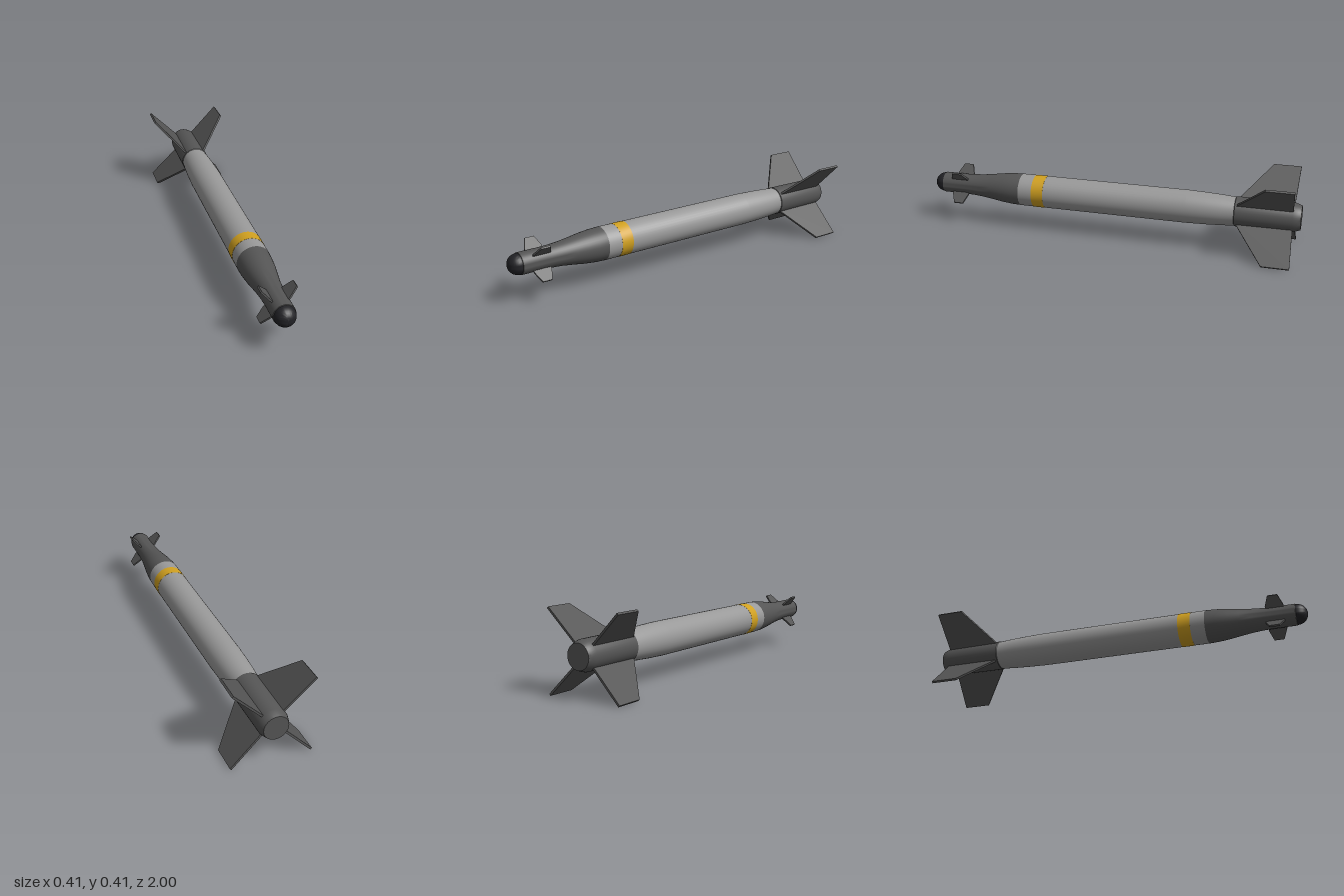
import * as THREE from 'three';
import { toCreasedNormals } from 'three/addons/utils/BufferGeometryUtils.js';

const AXIS_Y = 0.206;
const mat = (color) => new THREE.MeshStandardMaterial({ color });
const DARK = mat(0x555555), GREY = mat(0x999999), YELLOW = mat(0xd0a020), BLACK = mat(0x222226);

// Turned section along z; profile is [radius, z] from rear to front
function turned(name, profile, material) {
  const pts = profile.map(([r, z]) => new THREE.Vector2(r, z));
  const geo = new THREE.LatheGeometry(pts, 40).rotateX(Math.PI / 2);
  const mesh = new THREE.Mesh(toCreasedNormals(geo, 0.6), material);
  mesh.name = name;
  return mesh;
}

// Four flat plates at the diagonals; outline is [radial distance, z]
function finSet(name, outline, thickness, material) {
  const set = new THREE.Group();
  set.name = name + 's';
  const shape = new THREE.Shape(outline.map(([r, z]) => new THREE.Vector2(r, z)));
  const geo = new THREE.ExtrudeGeometry(shape, { depth: thickness, bevelEnabled: false });
  geo.translate(0, 0, -thickness / 2).rotateX(Math.PI / 2);
  for (let i = 0; i < 4; i++) {
    const fin = new THREE.Mesh(geo, material);
    fin.name = name;
    fin.rotation.z = Math.PI / 4 + i * Math.PI / 2;
    set.add(fin);
  }
  return set;
}

export function createModel() {
  const model = new THREE.Group();
  model.name = 'guidedBomb';
  const body = new THREE.Group();
  body.name = 'airframe';
  body.position.y = AXIS_Y;
  model.add(body);

  // Tail section with chamfered rear edge
  body.add(turned('tailSection', [
    [0, -1], [0.062, -1], [0.068, -0.985], [0.075, -0.96], [0.077, -0.67], [0.072, -0.665],
  ], DARK));

  // Main casing, tapering to the rear
  body.add(turned('mainCasing', [
    [0.074, -0.67], [0.079, -0.6], [0.083, -0.52], [0.086, -0.42], [0.086, 0.49],
  ], GREY));
  body.add(turned('markingBand', [
    [0.085, 0.35], [0.0868, 0.35], [0.0868, 0.415], [0.085, 0.415],
  ], YELLOW));

  // Guidance section necking down to the seeker
  body.add(turned('guidanceSection', [
    [0.086, 0.49], [0.084, 0.54], [0.078, 0.6], [0.069, 0.66], [0.061, 0.72],
    [0.057, 0.77], [0.055, 0.82], [0.055, 0.943], [0.05, 0.945],
  ], DARK));

  // Rounded seeker dome
  const dome = [[0.052, 0.94]];
  for (let i = 0; i <= 8; i++) {
    const a = (i / 8) * Math.PI / 2;
    dome.push([0.052 * Math.cos(a), 0.948 + 0.052 * Math.sin(a)]);
  }
  body.add(turned('seekerDome', dome, BLACK));

  // Large tail fins and small forward canards
  body.add(finSet('tailFin', [
    [0.04, -0.66], [0.04, -0.96], [0.284, -0.97], [0.284, -0.83], [0.07, -0.675],
  ], 0.011, DARK));
  body.add(finSet('canard', [
    [0.03, 0.89], [0.03, 0.795], [0.065, 0.795], [0.12, 0.815], [0.12, 0.865], [0.065, 0.887],
  ], 0.009, DARK));

  return model;
}
